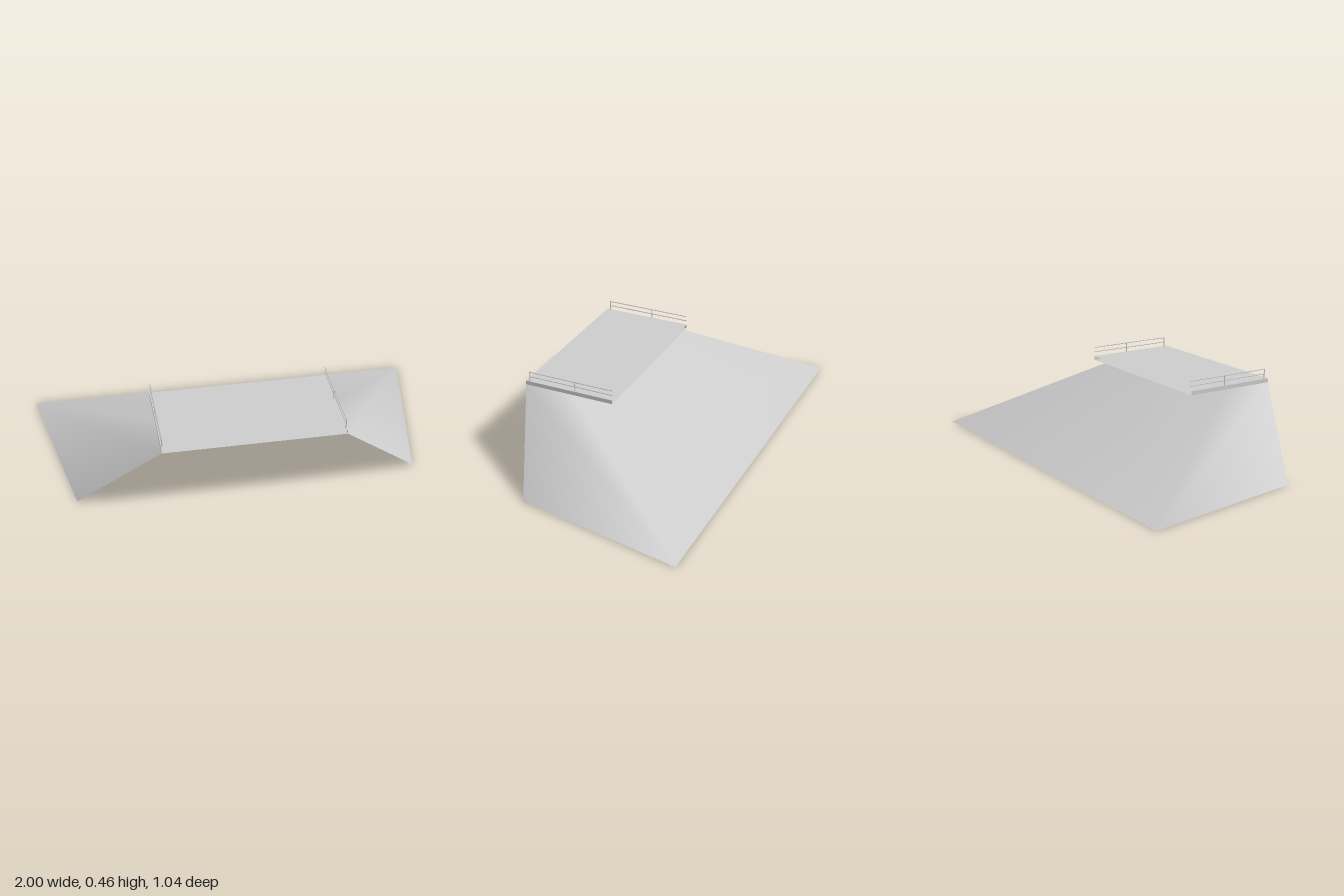
import * as THREE from 'three';

const TOP = 0.385, DECK = 0.405, HALF = 0.44;

export function createModel() {
  const model = new THREE.Group();
  const material = new THREE.MeshStandardMaterial({ color: 0xcccccc, side: THREE.DoubleSide });

  const add = (geometry, name, parent = model) => {
    const mesh = new THREE.Mesh(geometry, material);
    mesh.name = name;
    parent.add(mesh);
    return mesh;
  };

  const surface = (points, faces) => {
    const geometry = new THREE.BufferGeometry();
    geometry.setAttribute('position', new THREE.Float32BufferAttribute(points.flat(), 3));
    geometry.setIndex(faces.flat());
    geometry.computeVertexNormals();
    return geometry;
  };

  // Embankment: an open shell, back ramp plus two folded side slopes with soft shading
  const half = (s) => [
    [s * HALF, TOP, 0.52],
    [s * HALF, TOP, 0.255],
    [s * 1, 0, -0.525],
    [s * 0.84, 0, 0.33],
  ];
  add(surface([...half(1), ...half(-1)], [
    [1, 2, 6], [1, 6, 5],
    [0, 2, 1], [0, 3, 2],
    [4, 5, 6], [4, 6, 7],
  ]), 'embankment');

  // Deck: a thin slab, hollow and open at its front and back ends
  const corners = [[-HALF, TOP], [HALF, TOP], [HALF, DECK], [-HALF, DECK]];
  const deck = new THREE.Group();
  deck.name = 'deck';
  model.add(deck);
  ['deckUnderside', 'deckLeftEdge', 'deckTop', 'deckRightEdge'].forEach((name, i) => {
    const a = corners[i], b = corners[(i + 1) % 4];
    add(surface(
      [[...a, 0.52], [...a, 0.055], [...b, 0.055], [...b, 0.52]],
      [[0, 1, 2], [0, 2, 3]],
    ), name, deck);
  });

  // Railings: two posts, a middle bar and a top bar on each side
  for (const s of [1, -1]) {
    const railing = new THREE.Group();
    railing.name = s > 0 ? 'leftRailing' : 'rightRailing';
    railing.position.x = s * 0.435;
    model.add(railing);
    for (const z of [0.5, 0.255]) {
      const post = add(new THREE.CylinderGeometry(0.0025, 0.0025, 0.05, 8), 'railingPost', railing);
      post.position.set(0, DECK + 0.025, z);
    }
    for (const [y, name] of [[0.43, 'middleRail'], [0.454, 'topRail']]) {
      const bar = add(new THREE.CylinderGeometry(0.0025, 0.0025, 0.447, 8), name, railing);
      bar.rotation.x = Math.PI / 2;
      bar.position.set(0, y, 0.2785);
    }
  }
  return model;
}
